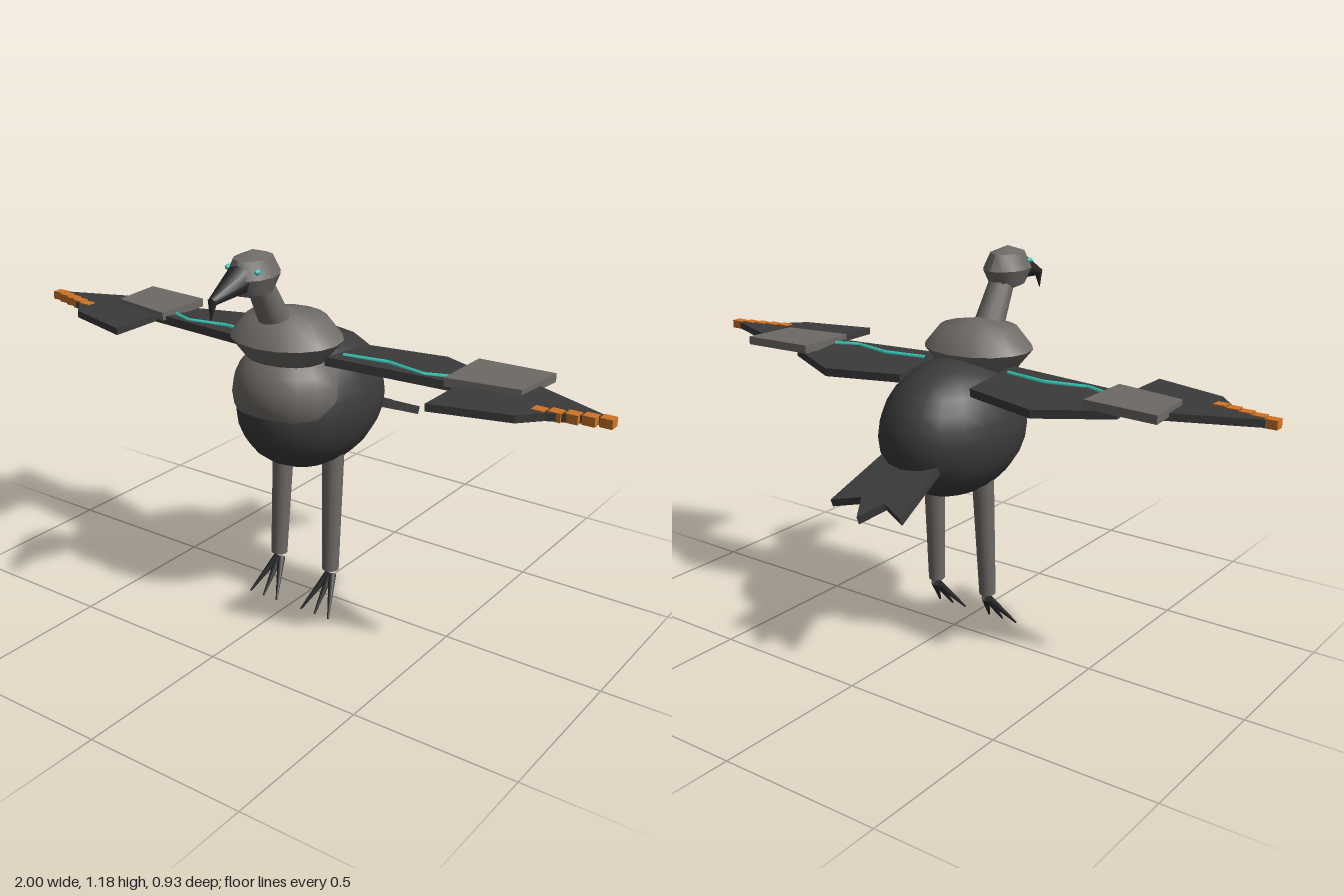
import * as THREE from 'three';
import { toCreasedNormals } from 'three/addons/utils/BufferGeometryUtils.js';

const material = (name, color) => {
  const m = new THREE.MeshStandardMaterial({ color });
  m.name = name;
  return m;
};

export function createModel() {
  const root = new THREE.Group();
  root.name = 'bird';
  const grey = material('warm grey', 0x6e6a66);
  const dark = material('dark plumage', 0x3b3b3b);
  const horn = material('horn black', 0x2c2c2e);
  const orange = material('orange', 0xd07424);
  const teal = material('teal', 0x35c8b8);

  const add = (name, geometry, mat, x = 0, y = 0, z = 0) => {
    const mesh = new THREE.Mesh(geometry, mat);
    mesh.name = name;
    mesh.position.set(x, y, z);
    root.add(mesh);
    return mesh;
  };

  // Ellipsoid; a crease angle keeps the coarse rings sharp
  const ellipsoid = (name, r, p, mat, w, h, crease) => {
    let g = new THREE.SphereGeometry(1, w, h).scale(...r);
    if (crease) g = toCreasedNormals(g, crease);
    return add(name, g, mat, ...p);
  };

  // Tapered rod between two points
  const rod = (name, a, b, ra, rb, mat, sides = 12) => {
    const from = new THREE.Vector3(...a), to = new THREE.Vector3(...b);
    const dir = to.clone().sub(from);
    const mesh = add(name, new THREE.CylinderGeometry(rb, ra, dir.length(), sides), mat);
    mesh.position.copy(from).add(to).multiplyScalar(0.5);
    mesh.quaternion.setFromUnitVectors(new THREE.Vector3(0, 1, 0), dir.normalize());
    return mesh;
  };

  // Flat slab from an outline in x and z, centred on its own y = 0
  const slab = (name, outline, thickness, mat, side, y) => {
    const shape = new THREE.Shape(outline.map(([x, z]) => new THREE.Vector2(side * x, z)));
    const g = new THREE.ExtrudeGeometry(shape, { depth: thickness, bevelEnabled: false });
    g.translate(0, 0, -thickness / 2).rotateX(Math.PI / 2);
    return add(name, g, mat, 0, y, 0);
  };

  // Body, breast and ruff
  ellipsoid('body', [0.195, 0.212, 0.277], [0, 0.67, 0], dark, 20, 14);
  ellipsoid('breast', [0.17, 0.15, 0.163], [0, 0.73, 0.12], grey, 16, 12);
  ellipsoid('ruff', [0.175, 0.088, 0.152], [0, 0.894, 0.126], grey, 16, 4, 0.75);

  // Neck, head and hooked beak
  rod('neck', [0, 0.92, 0.163], [0, 1.09, 0.257], 0.049, 0.038, grey);
  ellipsoid('head', [0.068, 0.07, 0.093], [0, 1.1115, 0.277], grey, 12, 4, 0.6);
  rod('beak', [0, 1.11, 0.335], [0, 1.073, 0.457], 0.043, 0.012, horn, 8);
  rod('beakHook', [0, 1.078, 0.452], [0, 1.022, 0.463], 0.014, 0.001, horn, 6);

  // Tail fan, sloping down to the rear
  const tail = slab('tail', [
    [0.1, 0.03], [0.128, -0.24], [0.043, -0.2], [0, -0.278],
    [-0.043, -0.2], [-0.128, -0.24], [-0.1, 0.03],
  ], 0.026, dark, 1, 0.61);
  tail.position.z = -0.2;
  tail.rotation.x = -0.4;

  for (const s of [1, -1]) {
    const label = s > 0 ? 'left' : 'right';

    ellipsoid(label + 'Eye', [0.008, 0.008, 0.013], [s * 0.051, 1.134, 0.322], teal, 8, 6);

    // Leg and three splayed toes
    rod(label + 'Leg', [s * 0.1, 0.125, 0.041], [s * 0.093, 0.56, 0.018], 0.026, 0.035, grey);
    for (const t of [-1, 0, 1]) {
      rod(label + 'Toe', [s * 0.1 + t * 0.007, 0.107, 0.04],
        [s * 0.1 + t * 0.052, 0.003, 0.127], 0.013, 0.003, horn, 8);
    }

    // Inner wing, tipped slightly down at the back
    const inner = slab(label + 'InnerWing', [
      [0.13, 0.12], [0.59, 0.075], [0.59, -0.055], [0.375, -0.16], [0.13, -0.1],
    ], 0.026, dark, s, 0.827);
    inner.rotation.x = -0.1;

    // Outer wing with pointed tip
    slab(label + 'OuterWing', [
      [0.985, 0.07], [0.72, -0.04], [0.55, -0.02], [0.55, 0.262], [0.78, 0.2], [0.835, 0.14],
    ], 0.022, dark, s, 0.837);

    // Pale covert plate over the wing joint
    slab(label + 'Covert', [
      [0.51, 0.096], [0.727, 0.06], [0.743, -0.115], [0.51, -0.1],
    ], 0.026, grey, s, 0.85);

    // Teal zigzag line along the inner wing
    const path = new THREE.CurvePath();
    const pts = [[0.155, 0.06], [0.295, 0.037], [0.43, 0.065], [0.505, 0.037]]
      .map(([x, z]) => new THREE.Vector3(s * x, 0.846, z));
    for (let i = 1; i < pts.length; i++) path.add(new THREE.LineCurve3(pts[i - 1], pts[i]));
    add(label + 'WingLine', new THREE.TubeGeometry(path, 36, 0.007, 6), teal);

    // Orange blocks stepping in from the wing tip
    for (let i = 0; i < 5; i++) {
      add(label + 'TipBlock', new THREE.BoxGeometry(0.036, 0.026, 0.032), orange,
        s * (0.982 - i * 0.0425), 0.838, 0.078 + i * 0.0115);
    }
  }
  return root;
}
